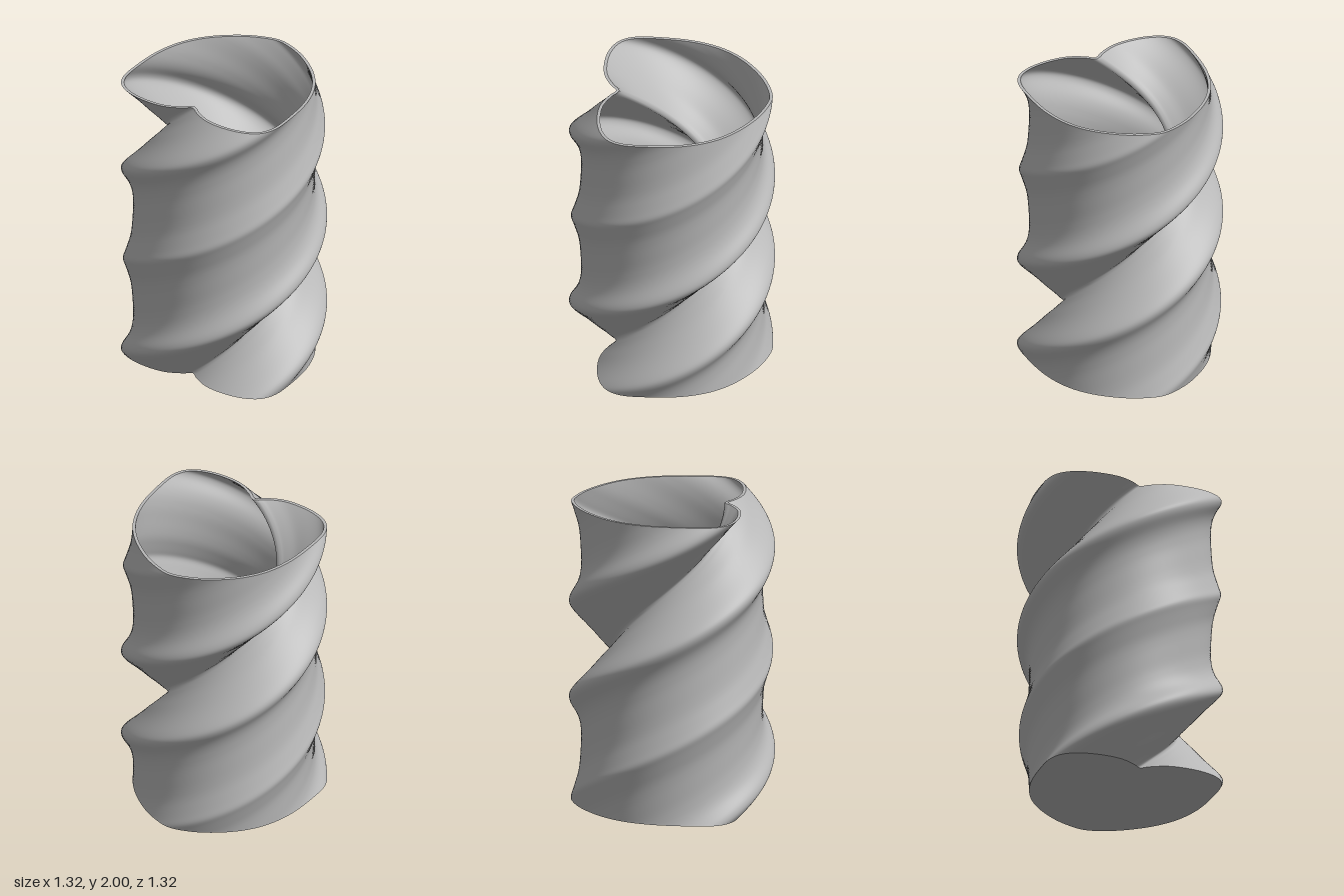
import * as THREE from 'three';

const HEIGHT = 2, WALL = 0.02, FLOOR = 0.04, SEGMENTS = 160, ROWS = 120;

// Half of the heart section: distance along the notch axis, distance to the side
const HALF = [
  [0.359, 0], [0.396, 0.05], [0.45, 0.168], [0.458, 0.336], [0.427, 0.467],
  [0.374, 0.545], [0.288, 0.588], [0.127, 0.597], [-0.106, 0.575], [-0.29, 0.51],
  [-0.433, 0.405], [-0.566, 0.237], [-0.629, 0.1], [-0.65, 0],
];

// Closed, mirrored heart outline as points (x, z), with the notch at front right
function heartOutline() {
  const mirrored = HALF.slice(1, -1).reverse().map(([u, v]) => [u, -v]);
  const points = [...HALF, ...mirrored].map(([u, v]) =>
    new THREE.Vector3((-u - v) * Math.SQRT1_2, 0, (u - v) * Math.SQRT1_2));
  const curve = new THREE.CatmullRomCurve3(points, true, 'centripetal');
  return curve.getSpacedPoints(SEGMENTS).slice(0, SEGMENTS).map(p => new THREE.Vector2(p.x, p.z));
}

// Moves an outline inward by the wall thickness
function insetOutline(outline, distance) {
  const n = outline.length;
  return outline.map((p, i) => {
    const t = outline[(i + 1) % n].clone().sub(outline[(i + n - 1) % n]).normalize();
    return new THREE.Vector2(p.x - t.y * distance, p.y + t.x * distance);
  });
}

// One full turn over the height
function twist(p, y) {
  const a = (y / HEIGHT) * Math.PI * 2, c = Math.cos(a), s = Math.sin(a);
  return new THREE.Vector2(p.x * c + p.y * s, -p.x * s + p.y * c);
}

// Twisted wall surface between two heights
function wallGeometry(outline, y0, y1, inward) {
  const positions = [], index = [], n = outline.length;
  for (let i = 0; i <= ROWS; i++) {
    const y = y0 + (y1 - y0) * i / ROWS;
    for (const p of outline) {
      const q = twist(p, y);
      positions.push(q.x, y, q.y);
    }
  }
  for (let i = 0; i < ROWS; i++) {
    for (let j = 0; j < n; j++) {
      const a = i * n + j, b = i * n + (j + 1) % n, c = a + n, d = b + n;
      if (inward) index.push(a, b, c, b, d, c);
      else index.push(a, c, b, b, c, d);
    }
  }
  const geometry = new THREE.BufferGeometry();
  geometry.setAttribute('position', new THREE.Float32BufferAttribute(positions, 3));
  geometry.setIndex(index);
  geometry.computeVertexNormals();
  return geometry;
}

// Flat upward-facing section at a height, with an optional hole
function capGeometry(outline, y, hole) {
  const flat = points => points.map(p => {
    const q = twist(p, y);
    return new THREE.Vector2(q.x, -q.y);
  });
  const shape = new THREE.Shape(flat(outline));
  if (hole) shape.holes.push(new THREE.Path(flat(hole)));
  return new THREE.ShapeGeometry(shape).rotateX(-Math.PI / 2).translate(0, y, 0);
}

export function createModel() {
  const group = new THREE.Group();
  group.name = 'twistedHeartVase';
  const grey = new THREE.MeshStandardMaterial({ color: 0xb8b8b8 });
  grey.name = 'grey';
  const add = (name, geometry) => {
    const mesh = new THREE.Mesh(geometry, grey);
    mesh.name = name;
    group.add(mesh);
  };

  const outer = heartOutline();
  const inner = insetOutline(outer, WALL);

  add('outerWall', wallGeometry(outer, 0, HEIGHT, false));
  add('innerWall', wallGeometry(inner, FLOOR, HEIGHT, true));
  add('rim', capGeometry(outer, HEIGHT, inner));
  add('floor', capGeometry(inner, FLOOR));

  // Underside: the same section turned to face down
  const base = capGeometry(outer, 0);
  const corners = base.index.array;
  for (let i = 0; i < corners.length; i += 3) [corners[i], corners[i + 1]] = [corners[i + 1], corners[i]];
  base.computeVertexNormals();
  add('base', base);

  return group;
}
